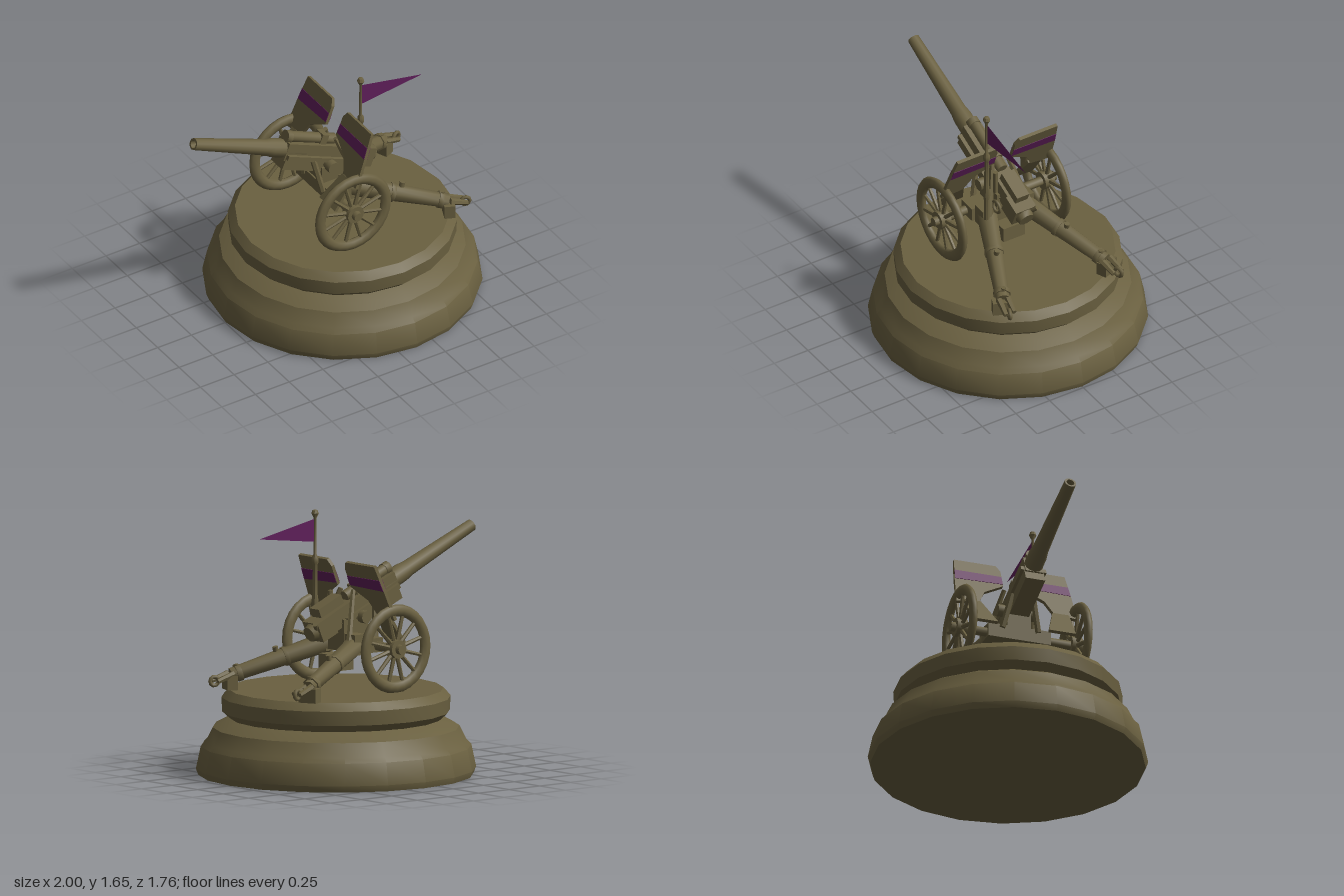
import * as THREE from 'three';
import { toCreasedNormals } from 'three/addons/utils/BufferGeometryUtils.js';

const olive = new THREE.MeshStandardMaterial({ color: 0x6a6040 });
olive.name = 'olive drab';
const purple = new THREE.MeshStandardMaterial({ color: 0x5f1f5a, side: THREE.DoubleSide });
purple.name = 'purple paint';

const V = (x, y, z) => new THREE.Vector3(x, y, z);

function add(parent, name, geo, pos = [0, 0, 0], mat = olive) {
  const mesh = new THREE.Mesh(geo, mat);
  mesh.name = name;
  mesh.position.set(...pos);
  parent.add(mesh);
  return mesh;
}
const box = (parent, name, size, pos) => add(parent, name, new THREE.BoxGeometry(...size), pos);

// Tapered round rod between two points
function rod(parent, name, a, b, r0, r1 = r0, sides = 8) {
  const d = b.clone().sub(a);
  const geo = toCreasedNormals(new THREE.CylinderGeometry(r1, r0, d.length(), sides), 0.9);
  const mesh = add(parent, name, geo, a.clone().add(b).multiplyScalar(0.5).toArray());
  mesh.quaternion.setFromUnitVectors(V(0, 1, 0), d.normalize());
  return mesh;
}

function lathe(points, sides, crease = 0.6) {
  return toCreasedNormals(new THREE.LatheGeometry(points.map(p => new THREE.Vector2(...p)), sides), crease);
}

// Plate outlined in (z, y), extruded along x and centred on x = 0
function plate(points, thick) {
  const shape = new THREE.Shape(points.map(p => new THREE.Vector2(...p)));
  return new THREE.ExtrudeGeometry(shape, { depth: thick, bevelEnabled: false })
    .translate(0, 0, -thick / 2).rotateY(-Math.PI / 2);
}

function makeWheel(side) {
  const wheel = new THREE.Group();
  wheel.name = side > 0 ? 'leftWheel' : 'rightWheel';
  wheel.position.set(-0.045, 0.815, side * 0.385);
  add(wheel, 'rim', new THREE.TorusGeometry(0.243, 0.038, 8, 28)).scale.z = 0.68;
  for (let i = 0; i < 12; i++) {
    const a = (i + 0.5) * Math.PI / 6;
    rod(wheel, 'spoke', V(0, 0, 0), V(Math.cos(a) * 0.22, Math.sin(a) * 0.22, 0), 0.015, 0.012, 6);
  }
  rod(wheel, 'hub', V(0, 0, -0.035), V(0, 0, 0.035), 0.06, 0.06, 12);
  rod(wheel, 'hubCap', V(0, 0, 0), V(0, 0, side * 0.065), 0.035, 0.03, 8);
  return wheel;
}

function makeTrail(side) {
  const trail = new THREE.Group();
  trail.name = side > 0 ? 'leftTrail' : 'rightTrail';
  const a = V(0.08, 0.82, side * 0.13), b = V(0.66, 0.63, side * 0.38);
  const p = t => a.clone().lerp(b, t);
  rod(trail, 'trailLeg', p(0), p(1), 0.066, 0.046, 8);
  rod(trail, 'trailBand', p(0.42), p(0.46), 0.064, 0.063, 8);
  rod(trail, 'lug', p(0.52), p(0.52).add(V(0.02, 0.08, 0)), 0.018);
  rod(trail, 'trailBand', p(0.9), p(0.95), 0.056, 0.056, 8);
  // Spade, post and towing eye at the tail
  box(trail, 'spade', [0.07, 0.09, 0.12], [0.66, 0.585, side * 0.39]).rotation.y = -side * 0.4;
  rod(trail, 'spadePost', V(0.635, 0.6, side * 0.36), V(0.635, 0.7, side * 0.36), 0.016);
  for (const dz of [-0.03, 0.03])
    rod(trail, 'towArm', V(0.66, 0.64, side * 0.38 + dz), V(0.775, 0.6, side * 0.4 + dz), 0.022, 0.016, 6);
  const eye = add(trail, 'towEye', new THREE.TorusGeometry(0.028, 0.013, 6, 10), [0.775, 0.6, side * 0.405]);
  eye.rotation.y = -side * 0.35;
  return trail;
}

function makeShield(side) {
  const shield = new THREE.Group();
  shield.name = side > 0 ? 'leftShield' : 'rightShield';
  shield.position.set(-0.03, 1.0, 0);
  shield.rotation.z = -0.38;
  const flip = pts => pts.map(([z, y]) => [z * side, y]);
  add(shield, 'shieldPlate', plate(flip([[0.09, 0.375], [0.37, 0.375], [0.39, 0.2], [0.405, 0],
    [0.25, 0.02], [0.2, 0.12], [0.065, 0.2], [0.065, 0.33]]), 0.022));
  add(shield, 'shieldStripe', plate(flip([[0.066, 0.215], [0.387, 0.205], [0.38, 0.28], [0.066, 0.28]]), 0.028),
    [0, 0, 0], purple);
  return shield;
}

function makeGun() {
  const gun = new THREE.Group();
  gun.name = 'gun';
  gun.position.set(0, 1.045, 0);
  gun.rotation.z = -0.41;
  // Barrel with an open muzzle
  const barrel = lathe([[0, 0.2], [0.062, 0.2], [0.06, 0.45], [0.052, 0.5], [0.038, 1.075],
    [0.026, 1.075], [0.024, 1.03], [0, 1.03]], 12);
  add(gun, 'barrel', barrel).rotation.z = Math.PI / 2;
  // Cradle, recoil cylinders and side rails
  box(gun, 'barrelJacket', [0.66, 0.12, 0.12], [-0.03, 0, 0]);
  box(gun, 'cradle', [0.5, 0.09, 0.13], [-0.1, -0.075, 0]);
  rod(gun, 'recuperator', V(-0.36, 0.085, 0), V(0.02, 0.085, 0), 0.036, 0.036, 10);
  rod(gun, 'recuperatorCap', V(-0.37, 0.085, 0), V(-0.33, 0.085, 0), 0.042, 0.042, 8);
  box(gun, 'recuperatorBracket', [0.05, 0.09, 0.08], [-0.08, 0.08, 0]);
  for (const s of [-1, 1]) {
    box(gun, 'cradleRail', [0.46, 0.03, 0.03], [-0.12, -0.03, s * 0.07]);
    rod(gun, 'trunnion', V(0, -0.06, s * 0.05), V(0, -0.06, s * 0.13), 0.04, 0.04, 10);
  }
  // Breech
  box(gun, 'breechCover', [0.2, 0.06, 0.09], [0.17, 0.1, 0.0]);
  box(gun, 'breechBlock', [0.13, 0.13, 0.15], [0.27, 0.0, 0]);
  rod(gun, 'breechRing', V(0.32, 0, 0), V(0.37, 0, 0), 0.065, 0.05, 10);
  rod(gun, 'breechHandle', V(0.33, 0.02, -0.04), V(0.35, 0.07, -0.07), 0.015);
  return gun;
}

function makeFlag() {
  const flag = new THREE.Group();
  flag.name = 'flag';
  flag.position.set(0.145, 0, 0.175);
  add(flag, 'flagpole', lathe([[0, 0.82], [0.018, 0.82], [0.018, 1.0], [0.026, 1.05], [0.016, 1.12],
    [0.014, 1.3], [0.022, 1.32], [0.022, 1.35], [0.01, 1.37], [0.009, 1.6], [0.024, 1.63], [0.016, 1.65], [0, 1.655]], 8));
  const pennant = new THREE.Shape([[0.005, 1.45], [0.455, 1.505], [0.005, 1.595]].map(p => new THREE.Vector2(...p)));
  add(flag, 'pennant', new THREE.ShapeGeometry(pennant), [0, 0, 0], purple);
  return flag;
}

export function createModel() {
  const model = new THREE.Group();
  model.name = 'fieldGunStatue';

  // Stepped round plinth
  add(model, 'plinth', lathe([[0, 0], [0.865, 0], [0.88, 0.04], [0.85, 0.18], [0.82, 0.21], [0.775, 0.3],
    [0.71, 0.335], [0.665, 0.355], [0.715, 0.4], [0.72, 0.49], [0.675, 0.54], [0, 0.54]], 20), [0.12, 0, 0]);

  // Carriage between the wheels
  rod(model, 'axle', V(-0.045, 0.815, -0.44), V(-0.045, 0.815, 0.44), 0.03, 0.03, 8);
  box(model, 'axleBeam', [0.12, 0.09, 0.42], [-0.03, 0.82, 0]);
  box(model, 'pivotBlock', [0.2, 0.2, 0.16], [0.02, 0.88, 0]);
  box(model, 'equipmentBox', [0.15, 0.1, 0.16], [0.12, 0.71, 0]);

  for (const s of [1, -1]) {
    model.add(makeWheel(s), makeTrail(s), makeShield(s));
    // Lower apron sloping forward below the shield
    const apron = add(model, 'shieldApron', plate([[s * 0.17, 0], [s * 0.35, 0], [s * 0.35, 0.22], [s * 0.24, 0.22]], 0.02),
      [-0.15, 0.84, 0]);
    apron.rotation.z = -0.6;
    rod(model, 'shieldStay', V(0.03, 1.16, s * 0.06), V(0.14, 0.84, s * 0.15), 0.016, 0.02, 6);
    rod(model, 'elevatingStrut', V(-0.1, 0.84, s * 0.12), V(-0.14, 1.06, s * 0.07), 0.02, 0.02, 6);
    box(model, 'hingeBlock', [0.09, 0.13, 0.1], [0.08, 0.83, s * 0.14]);
  }
  // Aiming handwheel and sight on the left of the breech
  rod(model, 'sight', V(0.1, 1.0, 0.08), V(0.1, 1.15, 0.08), 0.018, 0.018, 6);
  add(model, 'handwheel', new THREE.TorusGeometry(0.04, 0.01, 6, 12), [0.16, 0.93, 0.11]);

  model.add(makeGun(), makeFlag());
  return model;
}
